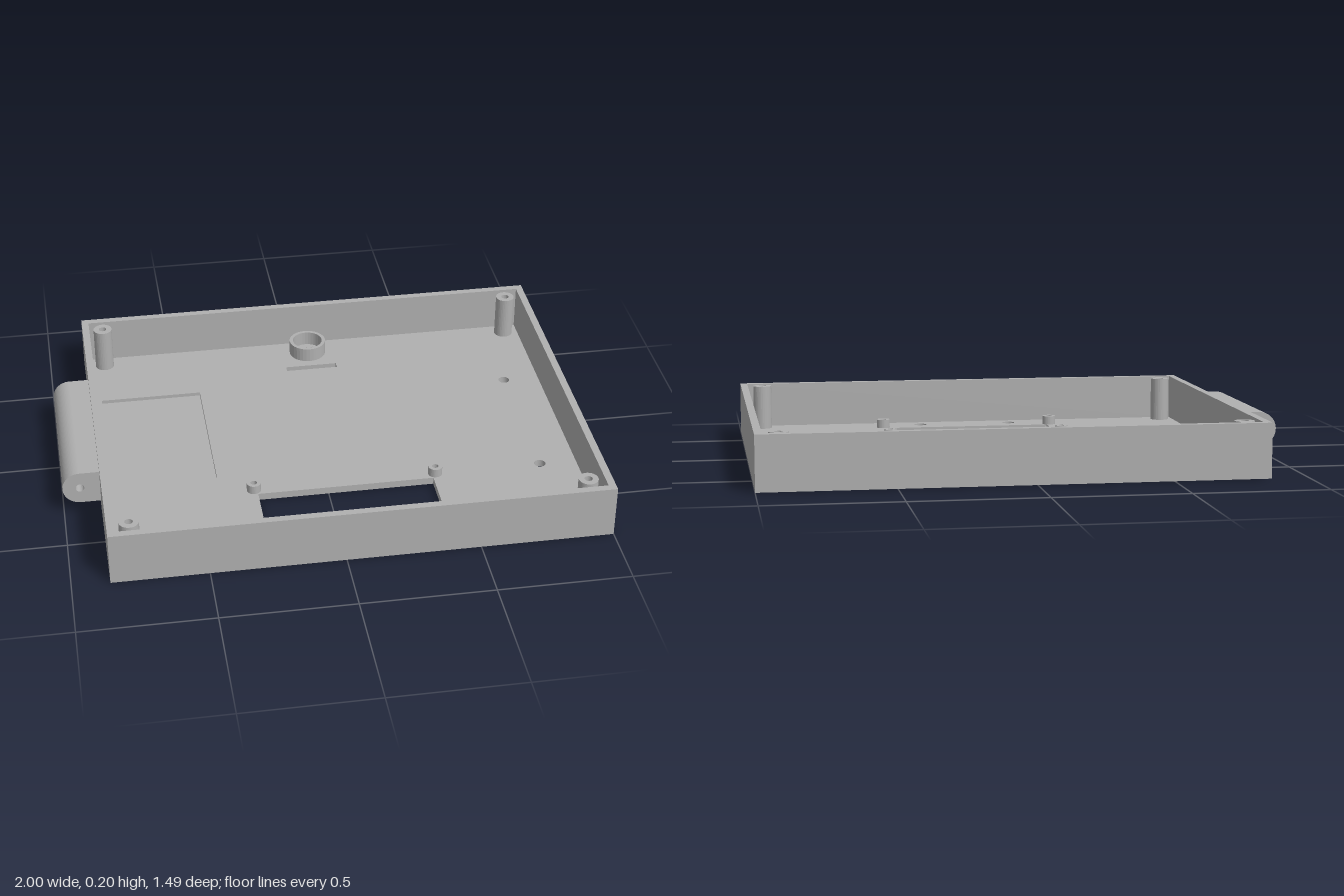
import * as THREE from 'three';

const grey = new THREE.MeshStandardMaterial({ color: 0xb0b0b0 });
grey.name = 'plain grey';

// Plan outlines are given in x and z; shape y is -z so that extrusions stand upright.
const rect = (x0, x1, z0, z1, Type = THREE.Path) =>
  new Type([[x0, -z1], [x1, -z1], [x1, -z0], [x0, -z0]].map(p => new THREE.Vector2(...p)));
const disc = (x, z, r, Type = THREE.Path) => {
  const s = new Type();
  s.absarc(x, -z, r, 0, Math.PI * 2, false);
  return s;
};

export function createModel() {
  const model = new THREE.Group();

  function slab(name, outline, holes, y0, y1) {
    outline.holes.push(...holes);
    const geo = new THREE.ExtrudeGeometry(outline, { depth: y1 - y0, bevelEnabled: false, curveSegments: 16 });
    geo.rotateX(-Math.PI / 2);
    geo.translate(0, y0, 0);
    const mesh = new THREE.Mesh(geo, grey);
    mesh.name = name;
    model.add(mesh);
  }
  const outer = () => rect(-0.86, 1, -0.745, 0.745, THREE.Shape);

  // Openings that run through the whole floor
  const speaker = { x: 0.067, z: -0.64 };
  const openings = () => {
    const list = [
      rect(-0.27, 0.405, 0.33, 0.567),
      disc(-0.12, 0.65, 0.026), disc(0.255, 0.65, 0.026),
      disc(0.83, -0.3, 0.022), disc(0.83, 0.3, 0.022),
    ];
    for (let i = -1; i <= 1; i++)
      for (let j = -1; j <= 1; j++)
        list.push(disc(speaker.x + i * 0.025, speaker.z + j * 0.025, 0.0105));
    return list;
  };
  const slot = () => rect(-0.038, 0.17, -0.533, -0.505);

  // Floor in three layers: underside recesses, solid core, inner pocket
  slab('floorUnderside', outer(),
    [...openings(), rect(-0.26, 0.4, -0.535, 0.19), rect(-0.755, -0.455, -0.27, 0.09)], 0, 0.007);
  slab('floorCore', outer(), [...openings(), slot()], 0.007, 0.014);
  slab('floorInside', outer(),
    [...openings(), slot(), rect(-0.81, -0.412, -0.4, 0.2)], 0.014, 0.028);

  // Side walls
  slab('walls', outer(), [rect(-0.832, 0.972, -0.717, 0.717)], 0.028, 0.205);

  // Hollow corner screw posts
  for (const x of [-0.778, 0.912])
    for (const z of [-0.665, 0.662])
      slab('cornerPost', disc(x, z, 0.037, THREE.Shape), [disc(x, z, 0.015)], 0.028, 0.203);

  // Short standoffs around the window
  for (const x of [-0.283, 0.417])
    for (const z of [0.302, 0.59])
      slab('windowStandoff', disc(x, z, 0.027, THREE.Shape), [disc(x, z, 0.012)], 0.028, 0.062);

  // Collar around the perforated grille
  slab('speakerCollar', disc(speaker.x, speaker.z, 0.074, THREE.Shape),
    [disc(speaker.x, speaker.z, 0.06)], 0.028, 0.085);

  // Rounded hinge bar with a pin hole along its length
  const bar = new THREE.Shape();
  bar.moveTo(-0.86, 0.055);
  bar.lineTo(-0.86, 0.185);
  bar.lineTo(-0.935, 0.185);
  bar.absarc(-0.935, 0.12, 0.065, Math.PI / 2, Math.PI * 1.5, false);
  const pin = new THREE.Path();
  pin.absarc(-0.935, 0.12, 0.016, 0, Math.PI * 2, false);
  bar.holes.push(pin);
  const barGeo = new THREE.ExtrudeGeometry(bar, { depth: 0.635, bevelEnabled: false, curveSegments: 20 });
  barGeo.translate(0, 0, -0.32);
  const hinge = new THREE.Mesh(barGeo, grey);
  hinge.name = 'hingeBar';
  model.add(hinge);

  return model;
}
